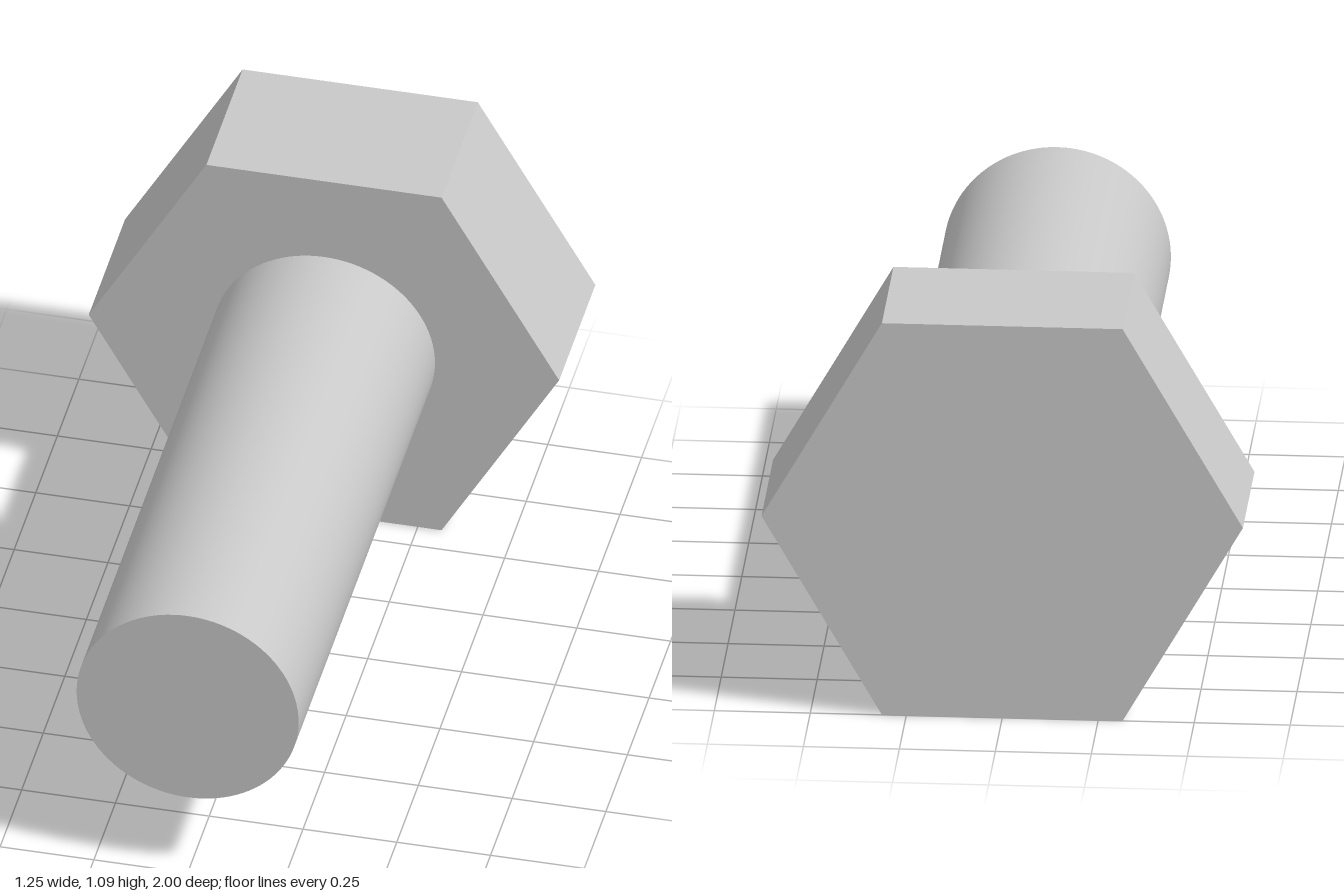
import * as THREE from 'three';

const CENTER_Y = 0.543;
const HEAD_RADIUS = CENTER_Y / Math.cos(Math.PI / 6); // corner radius from half the flat-to-flat size
const SHANK_RADIUS = 0.296;
const BACK = -1, SHOULDER = -0.58, TIP = 1;

// Closed prism or cylinder lying along z between two planes
function barAlongZ(radius, z0, z1, sides, startAngle = 0) {
  const geometry = new THREE.CylinderGeometry(radius, radius, z1 - z0, sides, 1, false, startAngle);
  return geometry.rotateX(Math.PI / 2).translate(0, CENTER_Y, (z0 + z1) / 2);
}

export function createModel() {
  const bolt = new THREE.Group();
  bolt.name = 'hexBolt';
  const steel = new THREE.MeshStandardMaterial({ color: 0xc8c8c8 });
  steel.name = 'steelGrey';

  // Hexagonal head, corners at left and right, with flat faces
  const headGeometry = barAlongZ(HEAD_RADIUS, BACK, SHOULDER, 6, Math.PI / 6).toNonIndexed();
  headGeometry.computeVertexNormals();
  const head = new THREE.Mesh(headGeometry, steel);
  head.name = 'hexHead';

  // Smooth round shank
  const shank = new THREE.Mesh(barAlongZ(SHANK_RADIUS, SHOULDER, TIP, 96), steel);
  shank.name = 'shank';

  bolt.add(head, shank);
  return bolt;
}
